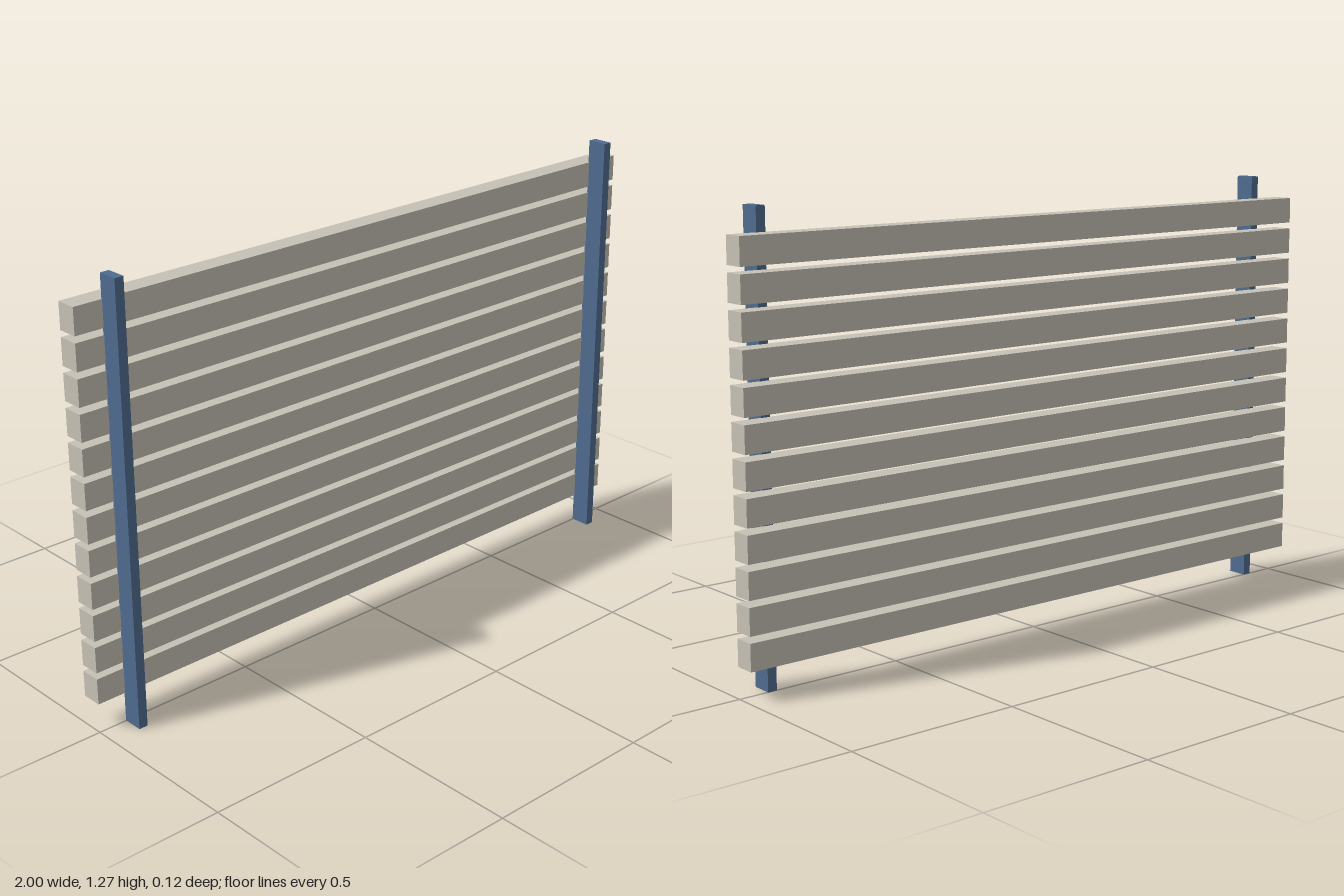
import * as THREE from 'three';

export function createModel() {
  const group = new THREE.Group();
  const slatMaterial = new THREE.MeshStandardMaterial({ color: 0xc6c1b5 });
  const postMaterial = new THREE.MeshStandardMaterial({ color: 0x4f6b8f });

  const addBox = (name, material, [w, h, d], [x, y, z]) => {
    const mesh = new THREE.Mesh(new THREE.BoxGeometry(w, h, d), material);
    mesh.name = name;
    mesh.position.set(x, y, z);
    group.add(mesh);
  };

  // Two upright posts at the front
  for (const [side, name] of [[1, 'leftPost'], [-1, 'rightPost']]) {
    addBox(name, postMaterial, [0.027, 1.27, 0.06], [side * 0.9, 0.635, 0.029]);
  }

  // Twelve evenly spaced horizontal slats, let slightly into the posts
  const slatCount = 12, pitch = 0.0945, slatHeight = 0.076;
  for (let i = 0; i < slatCount; i++) {
    addBox(`slat${i + 1}`, slatMaterial, [2, slatHeight, 0.061],
      [0, 0.087 + slatHeight / 2 + i * pitch, -0.0285]);
  }

  return group;
}
